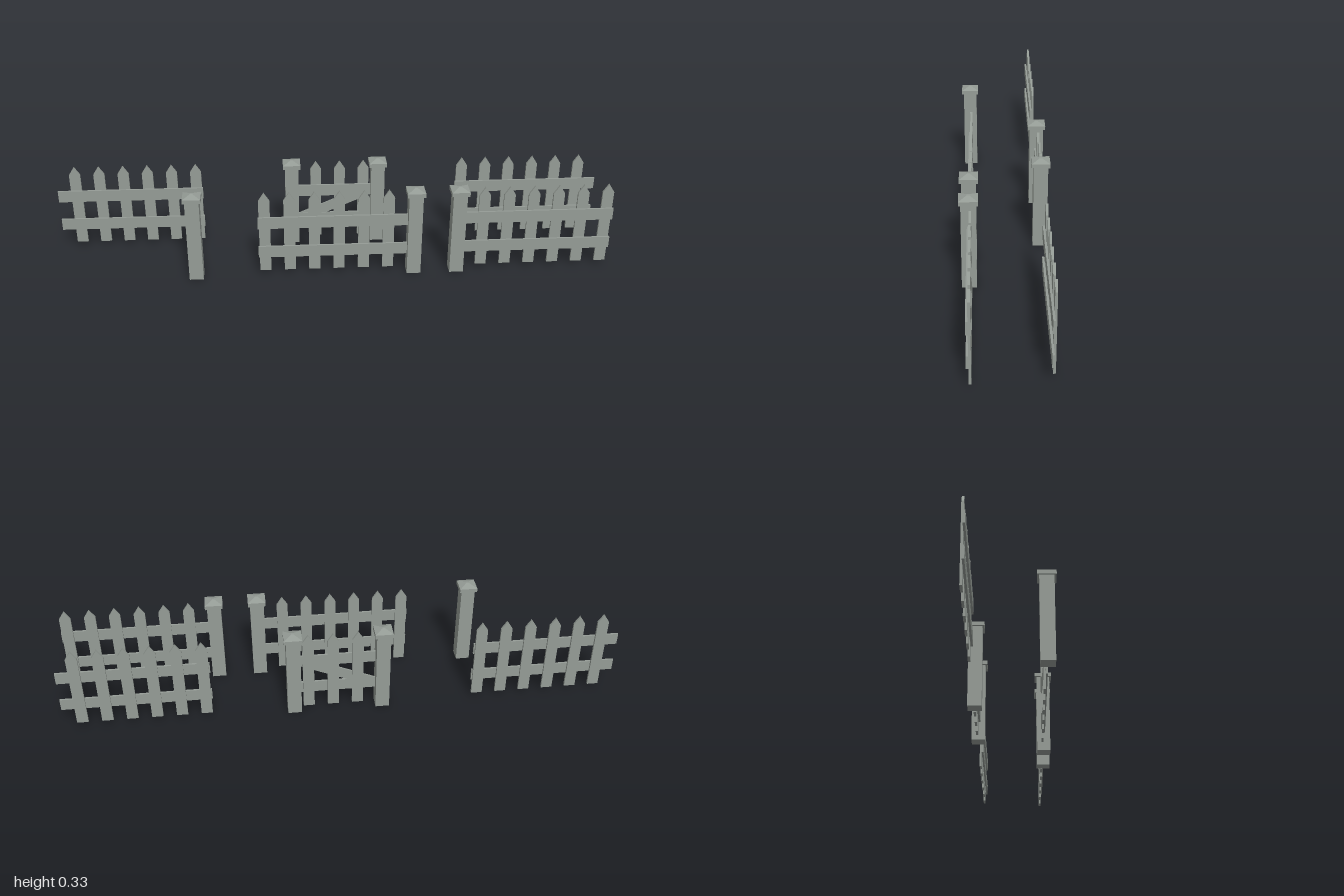
import * as THREE from 'three';

const wood = new THREE.MeshStandardMaterial({ color: 0x959c96 });
wood.name = 'weathered wood';

const SPACING = 0.088, PICKET_W = 0.04;
const RAIL_Y = [0.094, 0.21], RAIL_H = 0.044;

function addMesh(parent, geometry, name, x, y, z) {
  const mesh = new THREE.Mesh(geometry, wood);
  mesh.name = name;
  mesh.position.set(x, y, z);
  parent.add(mesh);
  return mesh;
}

// Flat board cut from an outline of [x, y] points
function board(points, depth) {
  const shape = new THREE.Shape(points.map(([x, y]) => new THREE.Vector2(x, y)));
  return new THREE.ExtrudeGeometry(shape, { depth, bevelEnabled: false });
}

// Square post with an overhanging cap and a low pyramid top
function addPost(parent, x, z) {
  const post = new THREE.Group();
  post.name = 'post';
  post.position.set(x, 0, z);
  addMesh(post, new THREE.BoxGeometry(0.05, 0.309, 0.05), 'postShaft', 0, 0.1545, 0);
  addMesh(post, new THREE.BoxGeometry(0.064, 0.015, 0.064), 'postCap', 0, 0.3165, 0);
  const top = new THREE.CylinderGeometry(0.006, 0.032 * Math.SQRT2, 0.01, 4, 1).toNonIndexed();
  top.rotateY(Math.PI / 4);
  top.computeVertexNormals();
  addMesh(post, top, 'postCapTop', 0, 0.329, 0);
  parent.add(post);
}

// Two rails in front of a row of pointed pickets; z is the plane where they meet
function addPanel(parent, name, x0, x1, z, firstPicket, count) {
  const panel = new THREE.Group();
  panel.name = name;
  const w = PICKET_W / 2;
  const picket = board([[-w, 0.015], [w, 0.015], [w, 0.294], [0, 0.325], [-w, 0.294]], 0.008);
  for (let i = 0; i < count; i++) {
    addMesh(panel, picket, 'picket', firstPicket + i * SPACING, 0, z - 0.008);
  }
  for (const y of RAIL_Y) {
    addMesh(panel, new THREE.BoxGeometry(x1 - x0, RAIL_H, 0.007), 'rail', (x0 + x1) / 2, y, z + 0.0035);
  }
  parent.add(panel);
  return panel;
}

export function createModel() {
  const model = new THREE.Group();
  model.name = 'picketFenceSet';
  const front = 0.123, back = -0.124;

  // Posts
  for (const x of [-0.491, 0.289, 0.444]) addPost(model, x, front);
  for (const x of [-0.14, 0.178]) addPost(model, x, back);

  // Fence panels
  const zf = 0.121, zb = -0.123;
  addPanel(model, 'backLeftPanel', -1, -0.469, zb, -0.933, 6);
  addPanel(model, 'frontMiddlePanel', -0.267, 0.266, zf, -0.243, 6);
  addPanel(model, 'frontRightPanel', 0.468, 1, zf, 0.536, 6);
  addPanel(model, 'backRightPanel', 0.469, 1, zb, 0.493, 6);

  // Gate with a diagonal brace
  const x0 = -0.116, x1 = 0.154;
  const gate = addPanel(model, 'gate', x0, x1, zb, -0.051, 3);
  const h = 0.021;
  const brace = board([
    [x0, RAIL_Y[0] - h], [x1, RAIL_Y[1] - h], [x1, RAIL_Y[1] + h], [x0, RAIL_Y[0] + h],
  ], 0.006);
  addMesh(gate, brace, 'brace', 0, 0, zb);

  return model;
}
